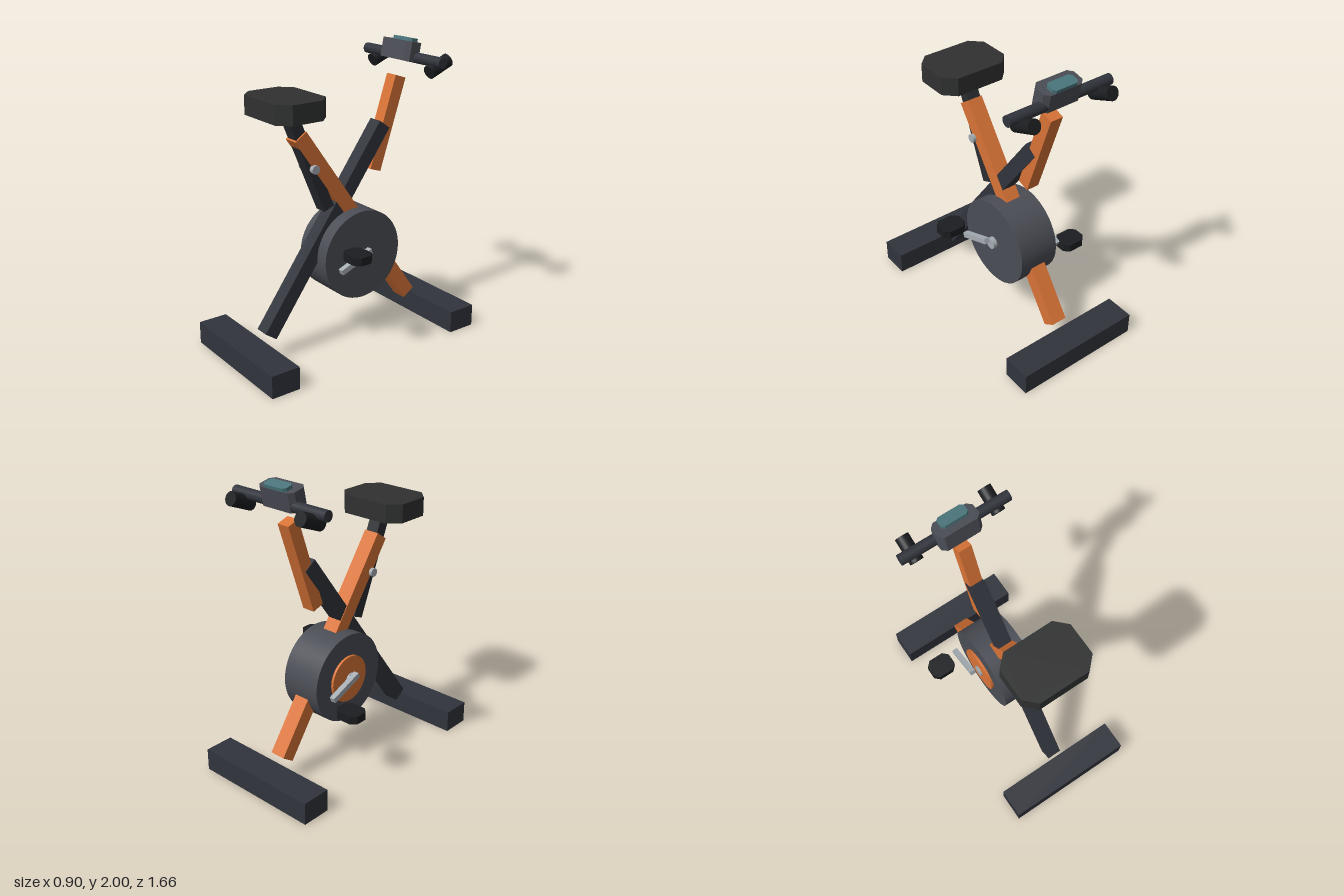
import * as THREE from 'three';

const mat = (color) => new THREE.MeshStandardMaterial({ color });
const charcoal = mat(0x31343c), steel = mat(0x4b4d55), orange = mat(0xd97336), silver = mat(0xa5adb3);
const black = mat(0x1b1d20), cushion = mat(0x303131), postDark = mat(0x2b2d32), teal = mat(0x4a767c);

export function createModel() {
  const model = new THREE.Group();

  const add = (name, geometry, material, x, y, z) => {
    const mesh = new THREE.Mesh(geometry, material);
    mesh.name = name;
    mesh.position.set(x, y, z);
    model.add(mesh);
    return mesh;
  };

  // Rectangular bar between two [y, z] points in a plane of constant x
  const beam = (name, material, x, width, depth, [y0, z0], [y1, z1]) => {
    const length = Math.hypot(y1 - y0, z1 - z0);
    const mesh = add(name, new THREE.BoxGeometry(width, length, depth), material, x, (y0 + y1) / 2, (z0 + z1) / 2);
    mesh.rotation.x = Math.atan2(z1 - z0, y1 - y0);
    return mesh;
  };

  // Cylinder lying along x
  const rod = (name, material, radius, length, x, y, z, sides = 32) =>
    add(name, new THREE.CylinderGeometry(radius, radius, length, sides).rotateZ(Math.PI / 2), material, x, y, z);

  // Slab with four cut corners, thickness along y, centred on its position
  const slab = (name, material, w, h, d, cut, x, y, z) => {
    const a = w / 2, b = d / 2;
    const outline = [
      [a, b - cut], [a - cut, b], [cut - a, b], [-a, b - cut],
      [-a, cut - b], [cut - a, -b], [a - cut, -b], [a, cut - b],
    ].map(([px, py]) => new THREE.Vector2(px, py));
    const geometry = new THREE.ExtrudeGeometry(new THREE.Shape(outline), { depth: h, bevelEnabled: false });
    geometry.translate(0, 0, -h / 2).rotateX(-Math.PI / 2);
    return add(name, geometry, material, x, y, z);
  };

  // Floor bars
  add('frontFloorBar', new THREE.BoxGeometry(0.9, 0.152, 0.2), charcoal, 0, 0.076, 0.73);
  add('rearFloorBar', new THREE.BoxGeometry(0.9, 0.152, 0.2), charcoal, 0, 0.076, -0.73);

  // Crossed frame
  beam('darkFrameBeam', charcoal, 0, 0.1, 0.1, [0.172, 0.58], [1.445, -0.34]);
  beam('orangeFrameBeam', orange, 0, 0.11, 0.1, [0.172, -0.58], [1.465, 0.33]);

  // Seat, its post and the clamp knob
  beam('seatPost', postDark, 0, 0.09, 0.08, [0.95, 0.11], [1.62, 0.39]);
  slab('seat', cushion, 0.495, 0.125, 0.37, 0.077, 0, 1.663, 0.407);
  rod('seatClampKnob', silver, 0.029, 0.155, 0, 1.24, 0.232, 24);

  // Flywheel, side disc and axle
  rod('flywheel', steel, 0.304, 0.285, 0, 0.612, -0.093, 64);
  rod('sideDisc', orange, 0.16, 0.02, -0.15, 0.612, -0.1, 48);
  rod('axle', silver, 0.04, 0.345, 0, 0.612, -0.093, 32);

  // Cranks and pedals
  beam('leftCrank', silver, 0.208, 0.038, 0.036, [0.662, -0.105], [0.565, 0.135]);
  beam('rightCrank', silver, -0.214, 0.038, 0.036, [0.662, -0.09], [0.565, -0.325]);
  slab('leftPedal', black, 0.175, 0.054, 0.145, 0.035, 0.346, 0.713, 0.108);
  slab('rightPedal', black, 0.175, 0.054, 0.145, 0.035, -0.35, 0.511, -0.3);

  // Handlebar post, bar and grips
  beam('handlebarPost', orange, 0, 0.09, 0.088, [1.142, -0.27], [1.748, -0.472]);
  rod('handlebar', charcoal, 0.035, 0.76, 0, 1.875, -0.53, 32);
  for (const side of [-1, 1]) {
    const grip = add(side > 0 ? 'leftGrip' : 'rightGrip',
      new THREE.CylinderGeometry(0.045, 0.045, 0.17, 32), black, side * 0.287, 1.838, -0.578);
    grip.rotation.x = Math.atan2(-0.16, 0.065);
  }

  // Console and screen, tilted back
  slab('console', steel, 0.285, 0.125, 0.135, 0.03, 0, 1.915, -0.505).rotation.x = -0.2;
  slab('screen', teal, 0.185, 0.022, 0.082, 0.018, 0, 1.982, -0.545).rotation.x = -0.2;

  return model;
}
